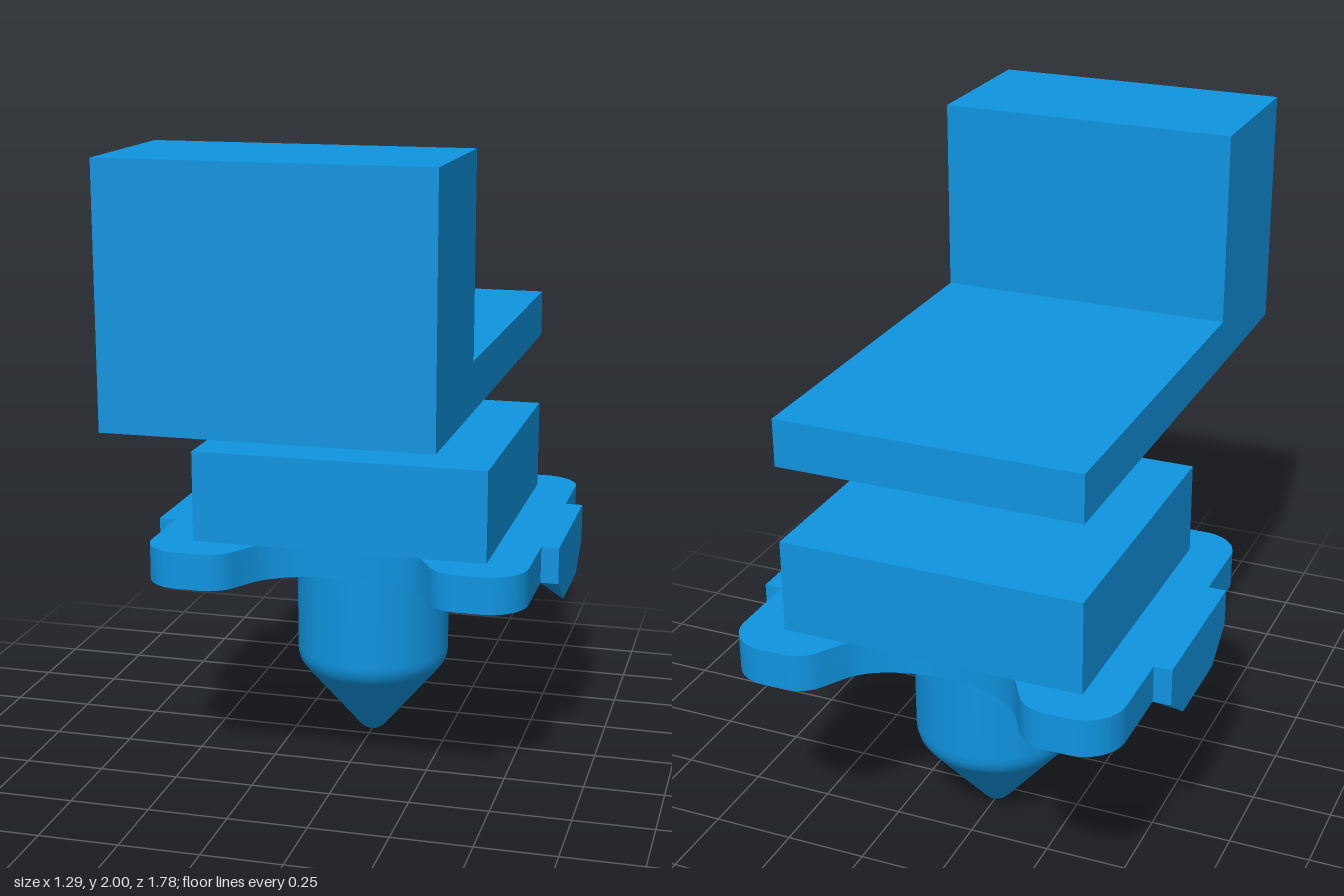
import * as THREE from 'three';
import { toCreasedNormals } from 'three/addons/utils/BufferGeometryUtils.js';

const MID_Z = -0.303; // centre of the pin, base plate and block

export function createModel() {
  const model = new THREE.Group();
  const material = new THREE.MeshStandardMaterial({ color: 0x0f94e0 });

  const add = (name, geometry, x = 0, y = 0, z = 0) => {
    const mesh = new THREE.Mesh(geometry, material);
    mesh.name = name;
    mesh.position.set(x, y, z);
    model.add(mesh);
    return mesh;
  };

  // L-shaped top bracket: side profile extruded across x
  const profile = new THREE.Shape([
    [-0.89, 1.27], [0.765, 1.27], [0.765, 1.415],
    [-0.405, 1.415], [-0.405, 2], [-0.89, 2],
  ].map(([u, v]) => new THREE.Vector2(u, v)));
  const bracket = new THREE.ExtrudeGeometry(profile, { depth: 0.92, bevelEnabled: false });
  bracket.translate(0, 0, -0.46);
  bracket.rotateY(Math.PI / 2);
  add('topBracket', bracket);

  // Middle block
  add('middleBlock', new THREE.BoxGeometry(0.92, 0.285, 0.92), 0, 0.8925, -0.305);

  // Base plate: one quarter of the outline, mirrored both ways
  const quarter = new THREE.Path();
  quarter.moveTo(0.59, 0);
  quarter.lineTo(0.59, 0.468);
  quarter.absarc(0.47, 0.468, 0.12, 0, Math.PI / 2);
  quarter.lineTo(0.4, 0.588);
  quarter.bezierCurveTo(0.36, 0.588, 0.325, 0.57, 0.305, 0.535);
  quarter.lineTo(0.265, 0.468);
  quarter.bezierCurveTo(0.22, 0.4, 0.12, 0.362, 0, 0.362);
  const q = quarter.getPoints(12);
  const mirror = (sx, sy) => q.map((p) => new THREE.Vector2(p.x * sx, p.y * sy));
  const outline = [
    ...mirror(1, 1),
    ...mirror(-1, 1).reverse().slice(1),
    ...mirror(-1, -1).slice(1),
    ...mirror(1, -1).reverse().slice(1, -1),
  ];
  const plate = new THREE.ExtrudeGeometry(new THREE.Shape(outline), { depth: 0.115, bevelEnabled: false });
  plate.rotateX(-Math.PI / 2);
  add('basePlate', toCreasedNormals(plate, 0.6), 0, 0.635, MID_Z);

  // Side tabs, each with a wedge tapering down to an outer edge
  for (const side of [1, -1]) {
    const name = side > 0 ? 'left' : 'right';
    add(name + 'Tab', new THREE.BoxGeometry(0.055, 0.115, 0.495), side * 0.6175, 0.6925, MID_Z);
    const wedge = new THREE.BoxGeometry(0.055, 0.085, 0.495).toNonIndexed();
    const pos = wedge.attributes.position;
    for (let i = 0; i < pos.count; i++) {
      if (pos.getY(i) < 0) {
        pos.setX(i, side * 0.0275);
        pos.setZ(i, Math.sign(pos.getZ(i)) * 0.135);
      }
    }
    wedge.computeVertexNormals();
    add(name + 'TabWedge', wedge, side * 0.6175, 0.5925, MID_Z);
  }

  // Locating pin with softened shoulder and rounded tip
  const pinProfile = [
    [0, 0], [0.02, 0.004], [0.036, 0.014], [0.048, 0.027],
    [0.225, 0.237], [0.239, 0.257], [0.246, 0.28], [0.247, 0.3], [0.247, 0.64],
  ].map(([r, y]) => new THREE.Vector2(r, y));
  add('locatingPin', new THREE.LatheGeometry(pinProfile, 64), 0, 0, MID_Z);

  return model;
}
